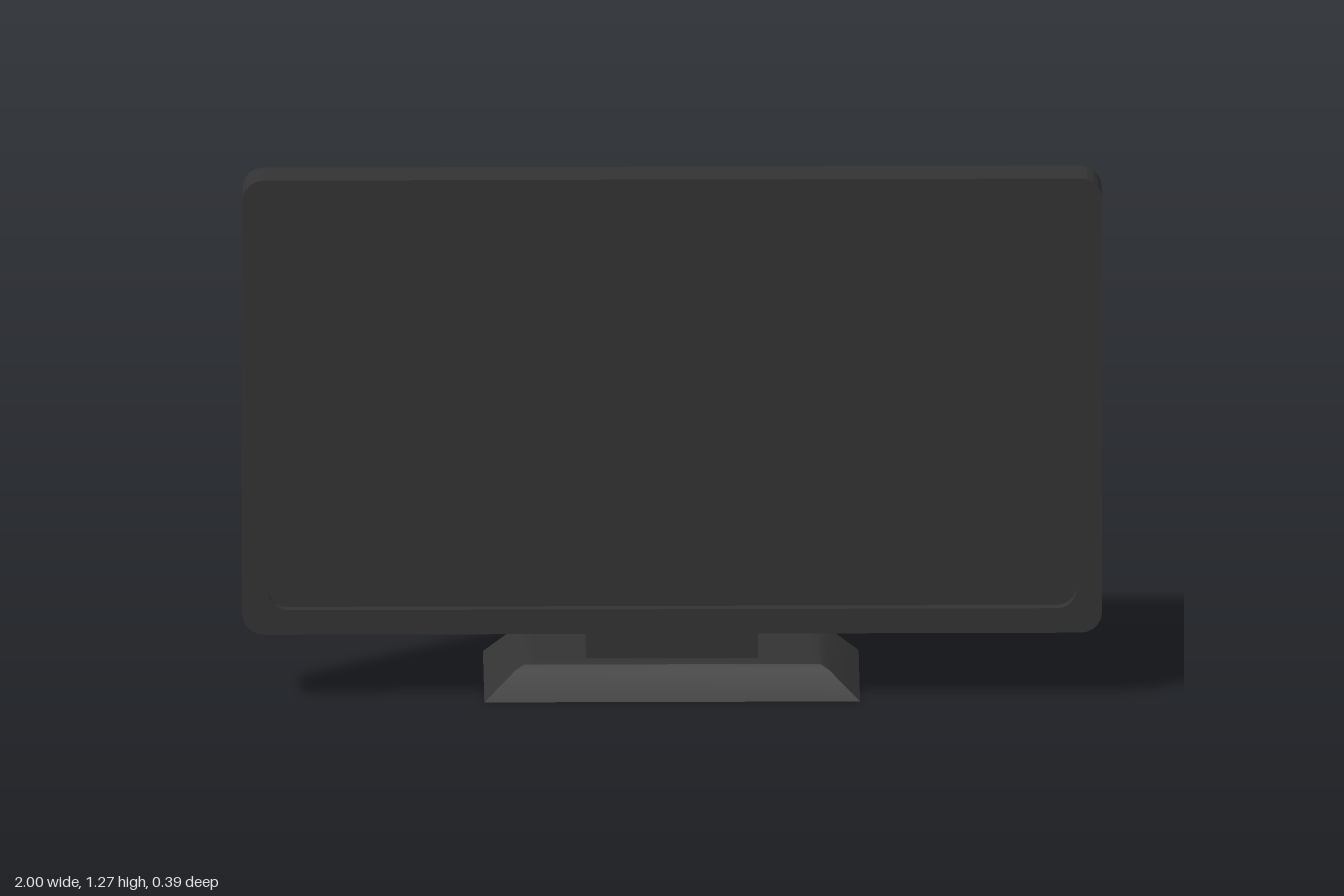
import * as THREE from 'three';
import { mergeGeometries, toCreasedNormals } from 'three/addons/utils/BufferGeometryUtils.js';

const material = new THREE.MeshStandardMaterial({ color: 0x333333 });

// Rounded rectangle points, counter-clockwise from the lower left corner
function roundRect(x0, x1, y0, y1, r, seg = 5) {
  const pts = [];
  const corners = [[x0 + r, y0 + r], [x1 - r, y0 + r], [x1 - r, y1 - r], [x0 + r, y1 - r]];
  corners.forEach(([cx, cy], c) => {
    for (let i = 0; i <= seg; i++) {
      const a = Math.PI + (c + i / seg) * Math.PI / 2;
      pts.push(new THREE.Vector2(cx + r * Math.cos(a), cy + r * Math.sin(a)));
    }
  });
  return pts;
}

const rect = (x, y) => [[-x, -y], [x, -y], [x, y], [-x, y]].map(p => new THREE.Vector2(...p));

// Joins rings {pts, z}; the last is closed by a cap facing -z, with optional holes
function loft(rings, holes = [], crease = 0.6) {
  const pos = [];
  for (let i = 0; i < rings.length - 1; i++) {
    const a = rings[i], b = rings[i + 1], n = a.pts.length;
    for (let j = 0; j < n; j++) {
      const k = (j + 1) % n;
      for (const [r, m] of [[a, j], [b, j], [b, k], [a, j], [b, k], [a, k]]) {
        pos.push(r.pts[m].x, r.pts[m].y, r.z);
      }
    }
  }
  const side = new THREE.BufferGeometry();
  side.setAttribute('position', new THREE.Float32BufferAttribute(pos, 3));
  const last = rings[rings.length - 1];
  const shape = new THREE.Shape(last.pts);
  shape.holes = holes.map(h => new THREE.Path(h));
  let cap = new THREE.ShapeGeometry(shape);
  cap.index.array.reverse();
  cap = cap.toNonIndexed().translate(0, 0, last.z);
  cap.deleteAttribute('uv');
  cap.deleteAttribute('normal');
  return toCreasedNormals(mergeGeometries([side, cap]), crease);
}

// Rings whose edge rounds over towards the back
function roundedBack(outline, zFront, zRound, zBack, inset, steps = 6) {
  const rings = [{ pts: outline(0), z: zFront }];
  for (let i = 0; i <= steps; i++) {
    const a = i / steps * Math.PI / 2;
    rings.push({ pts: outline(inset * (1 - Math.cos(a))), z: zRound + (zBack - zRound) * Math.sin(a) });
  }
  return rings;
}

export function createModel() {
  const model = new THREE.Group();
  const add = (name, geometry, parent = model) => {
    const mesh = new THREE.Mesh(geometry, material);
    mesh.name = name;
    parent.add(mesh);
    return mesh;
  };

  // Front frame with a sunken screen
  const frame = new THREE.Shape(roundRect(-1, 1, 0.165, 1.275, 0.05));
  frame.holes.push(new THREE.Path(roundRect(-0.94, 0.94, 0.225, 1.215, 0.045)));
  add('bezel', new THREE.ExtrudeGeometry(frame, { depth: 0.098, bevelEnabled: false })).position.z = 0.092;
  const screen = new THREE.Shape(roundRect(-0.945, 0.945, 0.22, 1.22, 0.045));
  add('screen', new THREE.ExtrudeGeometry(screen, { depth: 0.073, bevelEnabled: false })).position.z = 0.092;

  // Rear housing: lower layer, then a rounded layer with a side bay open at -x
  const housing = new THREE.Group();
  housing.name = 'rearHousing';
  model.add(housing);
  const full = roundRect(-0.92, 0.92, 0.33, 1.22, 0.09);
  add('housingBase', loft([{ pts: full, z: 0.095 }, { pts: full, z: 0.055 }]), housing);

  const bay = (yLow, yHigh) => {
    const r = 0.035, pts = [];
    for (let i = 0; i <= 4; i++) {
      const a = i / 4 * Math.PI / 2;
      pts.push(new THREE.Vector2(-0.59 - r + r * Math.sin(a), yHigh - r + r * Math.cos(a)));
    }
    for (let i = 0; i <= 4; i++) {
      const a = i / 4 * Math.PI / 2;
      pts.push(new THREE.Vector2(-0.59 - r + r * Math.cos(a), yLow + r - r * Math.sin(a)));
    }
    return pts;
  };
  const housingOutline = i => {
    const x = -0.92 + i;
    return [
      ...roundRect(x, 0.92 - i, 0.33 + i, 1.22 - i, 0.09 - i * 0.6),
      new THREE.Vector2(x, 1.0), ...bay(0.47, 1.0), new THREE.Vector2(x, 0.47),
    ];
  };
  const plateRim = roundRect(-0.27, 0.27, 0.805, 1.03, 0.004, 1);
  const gripRim = roundRect(-0.5, 0.5, 0.52, 0.68, 0.035);
  add('housingBack', loft(roundedBack(housingOutline, 0.056, 0.056, 0.005, 0.065),
    [plateRim, gripRim]), housing);

  // Square mount pocket and long scooped grip pocket
  add('mountPocket', loft([{ pts: plateRim, z: 0.005 }, { pts: plateRim, z: 0.035 }]), housing);
  const scoop = [];
  for (let i = 0; i <= 5; i++) {
    const a = i / 5 * Math.PI / 2, t = 1 - Math.cos(a);
    scoop.push({
      pts: roundRect(-0.5 + 0.03 * t, 0.5 - 0.03 * t, 0.52 + 0.06 * t, 0.68 - 0.015 * t, 0.035 - 0.01 * t),
      z: 0.005 + 0.048 * Math.sin(a),
    });
  }
  add('gripPocket', loft(scoop), housing);

  // Two small blocks beneath the housing
  for (const s of [1, -1]) {
    const outline = i => roundRect(s * 0.47 - 0.1 + i, s * 0.47 + 0.1 - i, 0.225 + i, 0.38, 0.012, 3);
    add(s > 0 ? 'leftBlock' : 'rightBlock', loft(roundedBack(outline, 0.095, 0.055, 0.036, 0.02, 3)));
  }

  // Stand neck with rounded back edges and a doorway-shaped cable recess
  const stand = new THREE.Group();
  stand.name = 'stand';
  model.add(stand);
  const arch = (w, top, r) => roundRect(-w, w, 0.07 - r, top, r).slice(12);
  const neckOutline = door => i => {
    const w = 0.2 - i, v = (x, y) => new THREE.Vector2(x, y);
    return [
      v(-w, 0.07), ...(door ? [v(-0.1, 0.07), v(-0.1, 0.345), v(0.1, 0.345), v(0.1, 0.07)] : []),
      v(w, 0.07), ...arch(w, 0.45 - i * 1.4, 0.035),
    ];
  };
  const flat = neckOutline(false)(0);
  add('neckFront', loft([{ pts: flat, z: 0.11 }, { pts: flat, z: -0.005 }]), stand);
  const neckFace = new THREE.Shape(flat);
  add('neckFace', new THREE.ShapeGeometry(neckFace), stand).position.z = 0.11;
  add('neckBack', loft(roundedBack(neckOutline(true), -0.004, -0.004, -0.053, 0.035, 5)), stand);

  // Sloped foot, hollow underneath
  const foot = loft([
    { pts: rect(0.325, 0.13), z: 0.08 },
    { pts: rect(0.345, 0.148), z: 0.077 },
    { pts: rect(0.365, 0.16), z: 0.066 },
    { pts: rect(0.437, 0.195), z: 0 },
    { pts: rect(0.375, 0.155), z: 0 },
    { pts: rect(0.34, 0.135), z: 0.04 },
  ], [], 0.5);
  add('foot', foot.rotateX(-Math.PI / 2), stand);
  const footTop = new THREE.PlaneGeometry(0.65, 0.26).rotateX(-Math.PI / 2).translate(0, 0.08, 0);
  add('footTop', footTop, stand);

  return model;
}
